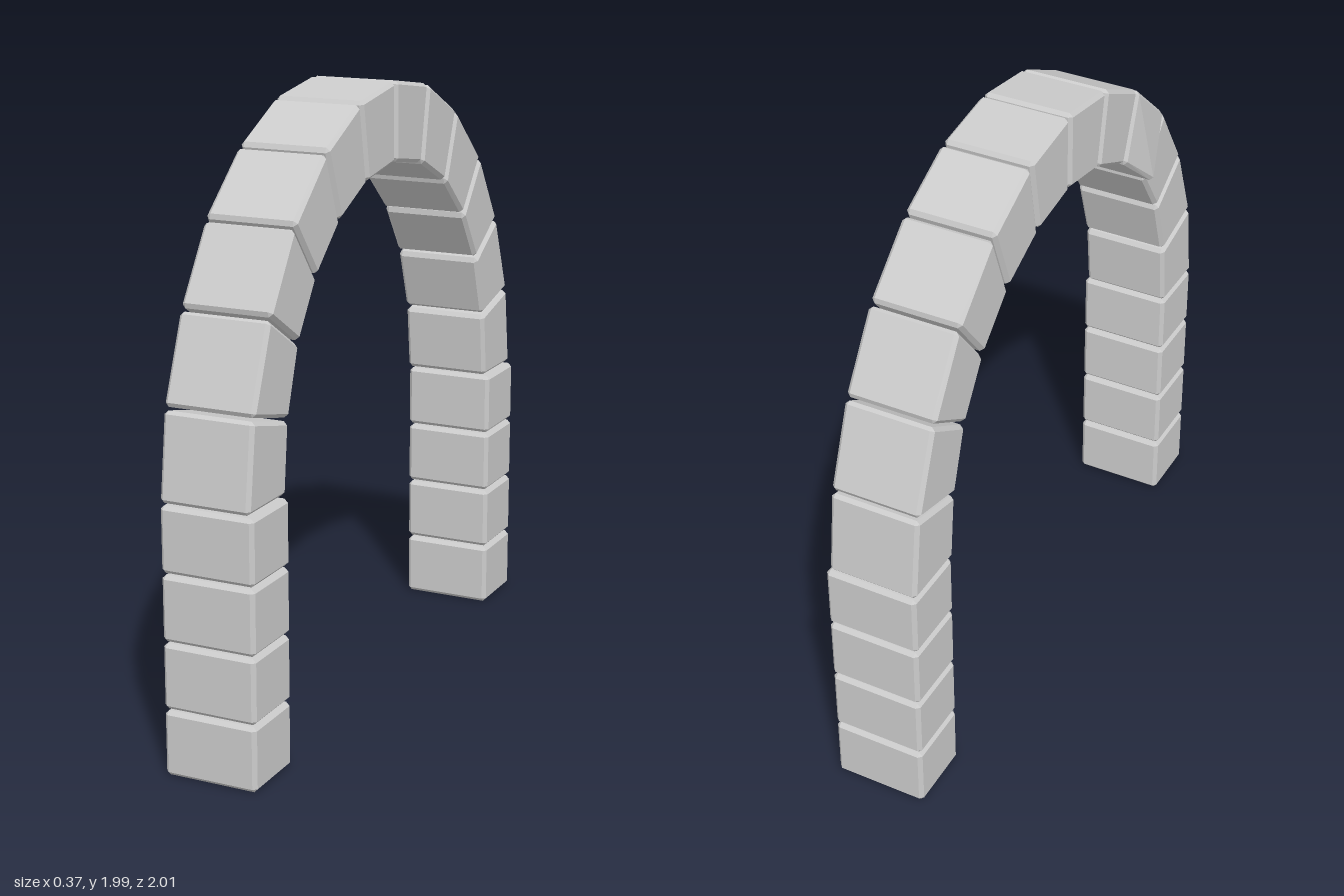
import * as THREE from 'three';
import { ConvexGeometry } from 'three/addons/geometries/ConvexGeometry.js';

const material = new THREE.MeshStandardMaterial({ color: 0xcccccc, flatShading: true });
const CHAMFER = 0.012;
const GAP = 0.005;

// Stone with chamfered edges: a four-cornered [z, y] outline spanning x0 to x1.
// Outline order: lower outer, upper outer, upper inner, lower inner.
function stone(name, outline, x0, x1, bulge = 0) {
  const corners = [x0, x1].map((x) => outline.map(([z, y]) => new THREE.Vector3(x, y, z)));
  corners[0][3].x -= bulge;
  const points = [];
  for (let s = 0; s < 2; s++) {
    for (let i = 0; i < 4; i++) {
      const p = corners[s][i];
      const dirs = [corners[s][(i + 1) % 4], corners[s][(i + 3) % 4], corners[1 - s][i]]
        .map((n) => n.clone().sub(p).setLength(CHAMFER));
      // one point on each of the three faces meeting at this corner
      for (let k = 0; k < 3; k++) points.push(p.clone().add(dirs[k]).add(dirs[(k + 1) % 3]));
    }
  }
  const mesh = new THREE.Mesh(new ConvexGeometry(points), material);
  mesh.name = name;
  return mesh;
}

// Pulls the two ends of a wedge together to leave a mortar gap
function shrinkEnds([a, b, c, d]) {
  const pull = (p, q) => {
    const t = GAP / Math.hypot(q[0] - p[0], q[1] - p[1]);
    return [p[0] + (q[0] - p[0]) * t, p[1] + (q[1] - p[1]) * t];
  };
  return [pull(a, b), pull(b, a), pull(c, d), pull(d, c)];
}

// Arch joints from springing to crown: outer z, outer y, inner z, inner y
const joints = [
  [0.998, 0.855, 0.765, 0.855],
  [0.962, 1.14, 0.742, 1.085],
  [0.855, 1.415, 0.672, 1.3],
  [0.698, 1.655, 0.555, 1.475],
  [0.485, 1.842, 0.398, 1.615],
  [0.252, 1.957, 0.206, 1.705],
  [0, 1.995, 0, 1.738],
];

export function createModel() {
  const arch = new THREE.Group();
  arch.name = 'stoneArch';

  for (const side of [1, -1]) {
    const label = side > 0 ? 'front' : 'back';
    const mirror = (outline) => outline.map(([z, y]) => [z * side, y]);

    // Straight pillar of four stones
    for (let i = 0; i < 4; i++) {
      const y0 = i * 0.215, y1 = y0 + 0.209;
      const outline = [[1, y0], [1, y1], [0.768, y1], [0.768, y0]];
      arch.add(stone(`${label}PillarStone${i + 1}`, mirror(outline), -0.155, 0.155));
    }

    // Wedge stones up to the crown; one has a corner standing proud
    for (let i = 0; i < 6; i++) {
      const [az, ay, dz, dy] = joints[i];
      const [bz, by, cz, cy] = joints[i + 1];
      const outline = shrinkEnds([[az, ay], [bz, by], [cz, cy], [dz, dy]]);
      const bulge = side > 0 && i === 3 ? 0.04 : 0;
      arch.add(stone(`${label}ArchStone${i + 1}`, mirror(outline), -0.156, 0.142, bulge));
    }
  }

  // The whole arch is turned very slightly
  arch.rotation.y = 0.029;
  const model = new THREE.Group();
  model.name = 'archway';
  model.add(arch);
  return model;
}
